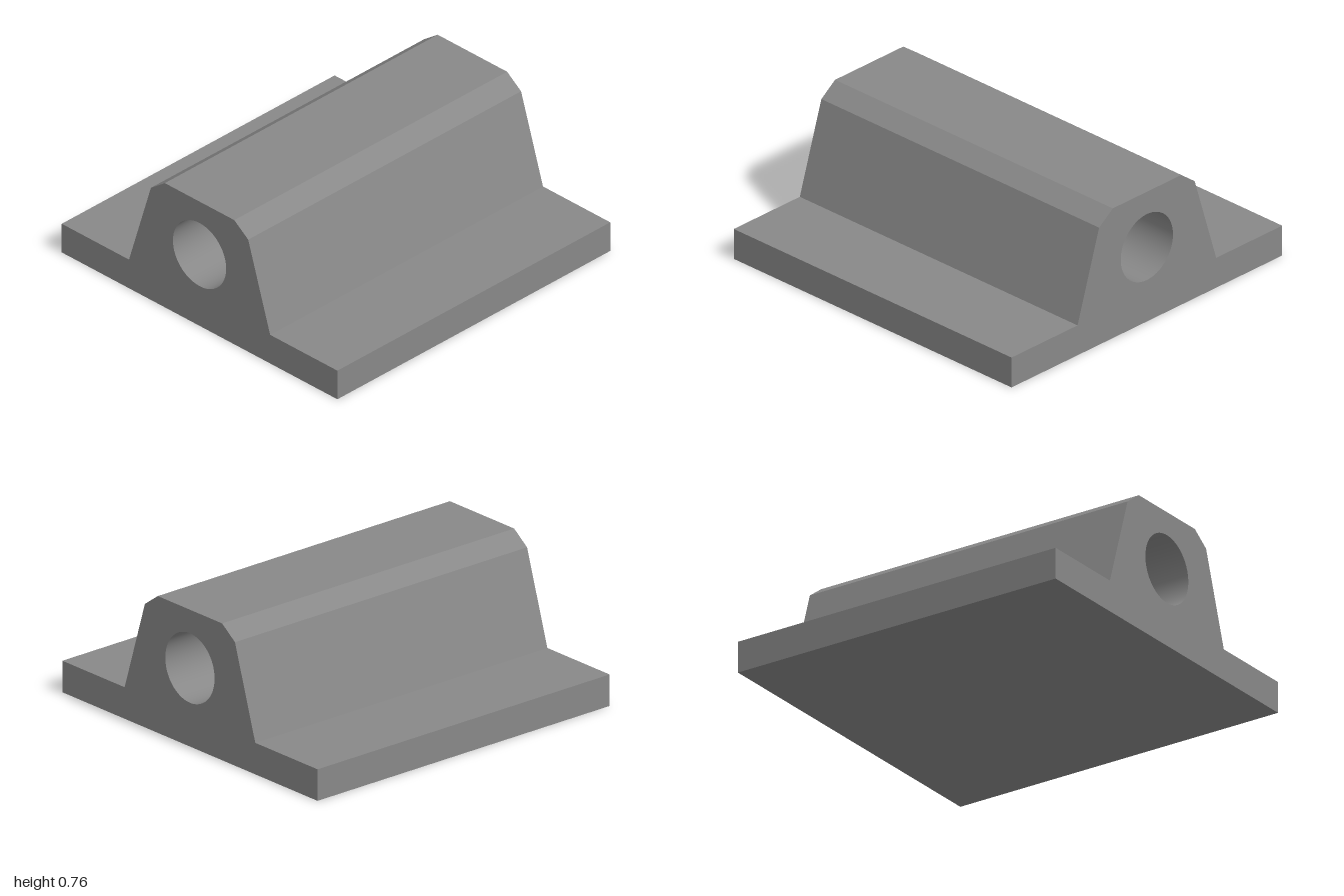
import * as THREE from 'three';
import { toCreasedNormals } from 'three/addons/utils/BufferGeometryUtils.js';

export function createModel() {
  const group = new THREE.Group();
  group.name = 'bearingBlock';

  // Right half of the cross-section, from the base up to the chamfered top
  const half = [[1, 0], [1, 0.175], [0.512, 0.175], [0.353, 0.686], [0.252, 0.76]];
  const mirrored = half.map(([x, y]) => [-x, y]).reverse();
  const profile = new THREE.Shape(
    [...half, ...mirrored].map(([x, y]) => new THREE.Vector2(x, y))
  );

  // Round bore running the full length
  const bore = new THREE.Path();
  bore.absarc(0, 0.436, 0.193, 0, Math.PI * 2, true);
  profile.holes.push(bore);

  const geometry = new THREE.ExtrudeGeometry(profile, {
    depth: 2, bevelEnabled: false, curveSegments: 48,
  });
  geometry.translate(0, 0, -1);

  // Flanged housing: crisp outer edges, smooth bore
  const housing = new THREE.Mesh(
    toCreasedNormals(geometry, 0.4),
    new THREE.MeshStandardMaterial({ color: 0x888888 })
  );
  housing.name = 'flangedHousing';
  group.add(housing);
  return group;
}
